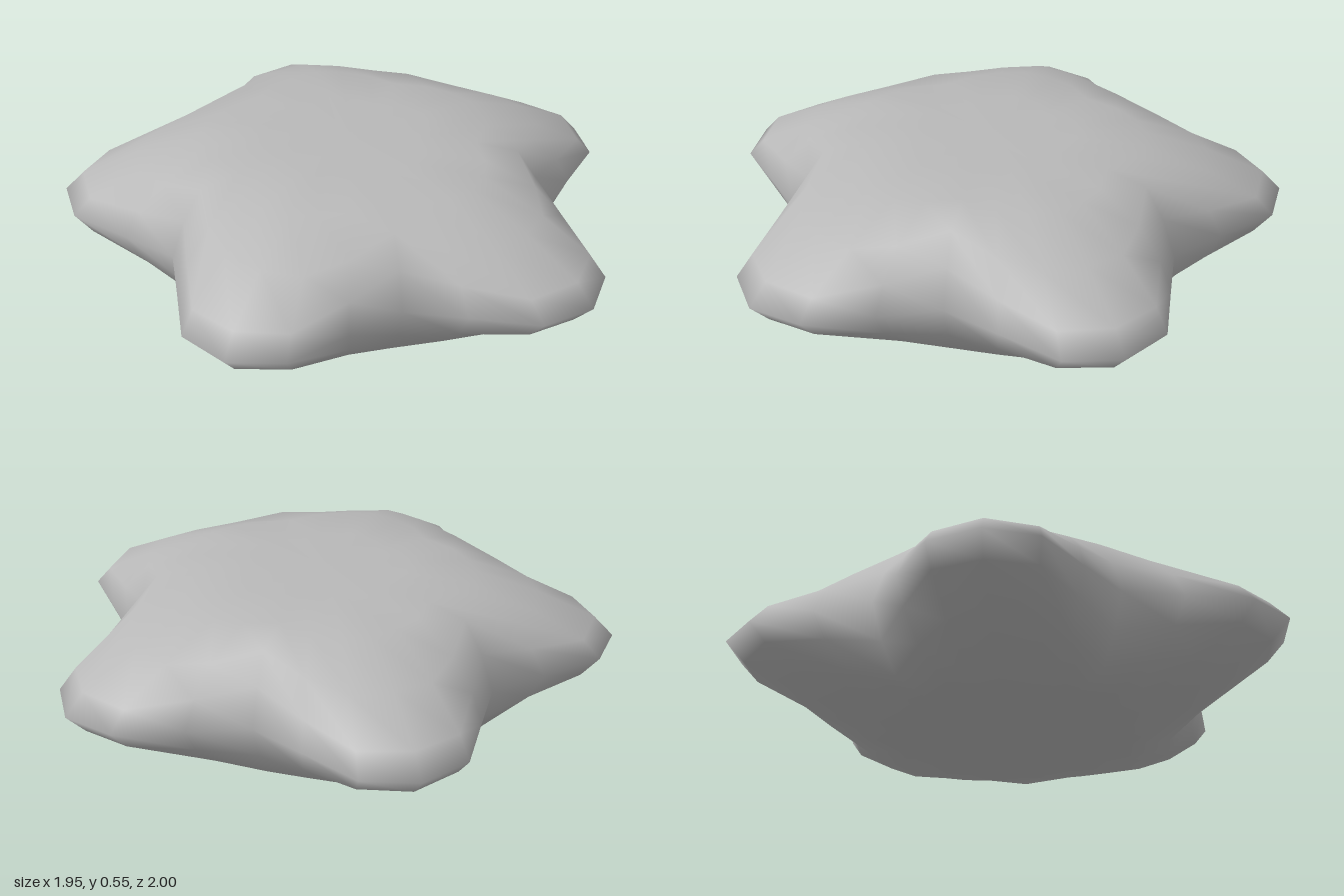
import * as THREE from 'three';

// Upper half profiles from the rim inwards: [distance from centre, height above the rim]
const notch = { rim: [[0.72, 0], [0.67, 0.13], [0.6, 0.235], [0.45, 0.264], [0.25, 0.272]] };
const flank = { rim: [[0.83, 0], [0.78, 0.095], [0.68, 0.19], [0.5, 0.259], [0.27, 0.272]] };
const corner = { rim: [[0.997, 0], [0.935, 0.07], [0.755, 0.168], [0.53, 0.255], [0.29, 0.272]] };
const tip = { rim: [[1.05, 0], [0.98, 0.075], [0.77, 0.177], [0.54, 0.258], [0.3, 0.272]] };

// One arm, from notch to notch: [angle in degrees, profile]
const arm = [[0, notch], [14.1, flank], [25.3, corner], [36, tip], [46.7, corner], [57.9, flank]];
const MID_Y = 0.273, CENTRE_X = 0.07;

function starGeometry() {
  const columns = [];
  for (let k = 0; k < 5; k++) {
    for (const [deg, p] of arm) columns.push([THREE.MathUtils.degToRad(deg + 72 * k), p.rim]);
  }
  const n = columns.length, pos = [], index = [];

  // Rings run from the top, over the rim, to the underside
  const rings = [[4, 1], [3, 1], [2, 1], [1, 1], [0, 1], [1, -1], [2, -1], [3, -1], [4, -1]];
  for (const [level, side] of rings) {
    for (const [a, rim] of columns) {
      const [r, h] = rim[level];
      pos.push(CENTRE_X + r * Math.cos(a), MID_Y + side * h, r * Math.sin(a));
    }
  }
  const top = n * rings.length, bottom = top + 1;
  pos.push(CENTRE_X, 2 * MID_Y, 0, CENTRE_X, 0, 0);

  for (let i = 0; i < n; i++) {
    const j = (i + 1) % n, last = (rings.length - 1) * n;
    index.push(top, j, i, bottom, last + i, last + j);
    for (let r = 0; r < rings.length - 1; r++) {
      const a = r * n + i, b = r * n + j, c = a + n, d = b + n;
      index.push(a, b, c, b, d, c);
    }
  }
  const g = new THREE.BufferGeometry();
  g.setAttribute('position', new THREE.Float32BufferAttribute(pos, 3));
  g.setIndex(index);
  g.computeVertexNormals();
  return g;
}

export function createModel() {
  const group = new THREE.Group();
  group.name = 'star';
  const grey = new THREE.MeshStandardMaterial({ color: 0xb8b8b8 });
  grey.name = 'grey';
  const body = new THREE.Mesh(starGeometry(), grey);
  body.name = 'starBody';
  group.add(body);
  return group;
}
